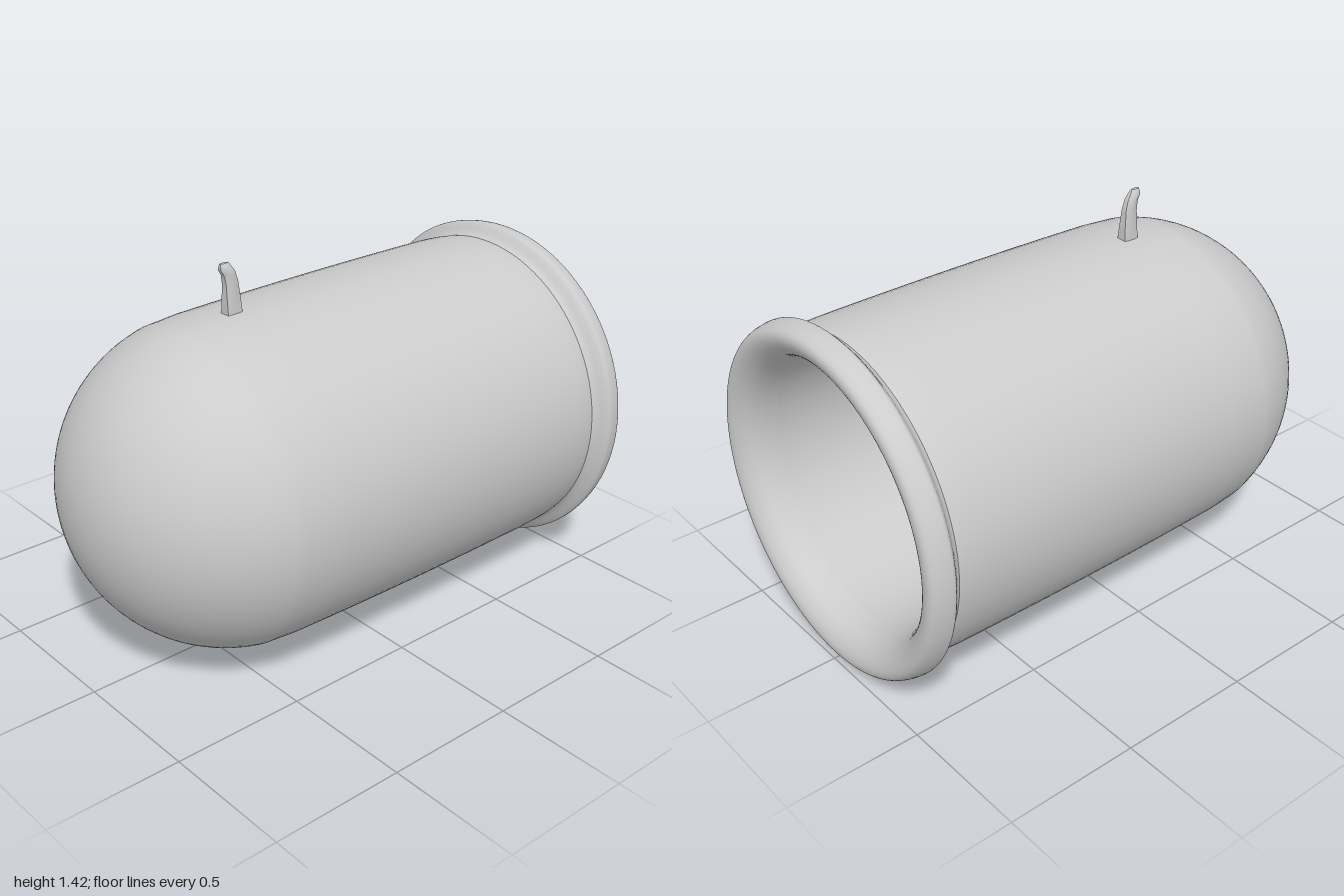
import * as THREE from 'three';

const material = new THREE.MeshStandardMaterial({ color: 0xcccccc });
const AXIS_Y = 0.642;

// Piecewise-linear lookup in a short list of [t, value] pairs
function lookup(keys, t) {
  for (let i = 1; i < keys.length; i++) {
    const [a, va] = keys[i - 1], [b, vb] = keys[i];
    if (t <= b) return THREE.MathUtils.lerp(va, vb, (t - a) / (b - a));
  }
  return keys[keys.length - 1][1];
}

// Smooth run of [x, radius] points
function smooth(points, n) {
  const curve = new THREE.SplineCurve(points.map(([x, r]) => new THREE.Vector2(r, x)));
  return curve.getPoints(n);
}

// Lathe about the model's x axis
function turned(name, profile) {
  const mesh = new THREE.Mesh(new THREE.LatheGeometry(profile, 96), material);
  mesh.name = name;
  mesh.rotation.z = -Math.PI / 2;
  mesh.position.y = AXIS_Y;
  return mesh;
}

export function createModel() {
  const model = new THREE.Group();
  model.name = 'roundEndedVessel';

  // Outer shell: round end running into a nearly straight wall
  const shell = [];
  for (let i = 0; i <= 24; i++) {
    const a = (i / 24) * 1.37;
    shell.push(new THREE.Vector2(0.6 * Math.sin(a), -0.4 - 0.6 * Math.cos(a)));
  }
  shell.push(...smooth([[-0.4, 0.597], [-0.1, 0.603], [0.3, 0.606], [0.7, 0.604], [0.82, 0.6], [0.87, 0.594]], 20));
  model.add(turned('outerShell', shell));

  // Flared lip, rolled over into the mouth
  const lip = smooth([
    [0.87, 0.594], [0.888, 0.606], [0.91, 0.634], [0.925, 0.642], [0.96, 0.636], [0.985, 0.625],
    [0.998, 0.609], [0.999, 0.585], [0.985, 0.555], [0.955, 0.525], [0.91, 0.507], [0.86, 0.5],
  ], 48);
  model.add(turned('lip', lip));

  // Hollow inside: slightly narrowing wall, rounded corner and flat floor
  const inside = smooth([
    [0.86, 0.5], [0.5, 0.497], [0, 0.49], [-0.4, 0.475], [-0.58, 0.445], [-0.68, 0.405], [-0.71, 0.375], [-0.715, 0.35],
  ], 36);
  inside.push(new THREE.Vector2(0, -0.715));
  model.add(turned('innerWall', inside));

  // Small hooked prong on top, tapering and leaning toward the round end
  const left = [[0, -0.371], [0.65, -0.37], [0.82, -0.376], [0.9, -0.388], [1, -0.386]];
  const right = [[0, -0.308], [0.4, -0.313], [0.7, -0.32], [0.85, -0.33], [1, -0.352]];
  const halfWidth = [[0, 0.024], [0.4, 0.021], [0.85, 0.019], [0.94, 0.015], [1, 0.006]];
  const prongGeometry = new THREE.BoxGeometry(1, 1, 1, 4, 20, 4);
  const p = prongGeometry.attributes.position;
  for (let i = 0; i < p.count; i++) {
    const t = p.getY(i) + 0.5;
    const u = p.getX(i), v = p.getZ(i);
    // Round the section progressively toward the tip
    const round = 1 - 2 * u * u * Math.min(1, t * 1.2);
    p.setXYZ(
      i,
      THREE.MathUtils.lerp(lookup(left, t), lookup(right, t), u + 0.5),
      1.2 + 0.222 * t,
      -0.022 + 2 * v * lookup(halfWidth, t) * round,
    );
  }
  prongGeometry.computeVertexNormals();
  const prong = new THREE.Mesh(prongGeometry, material);
  prong.name = 'prong';
  model.add(prong);

  return model;
}
